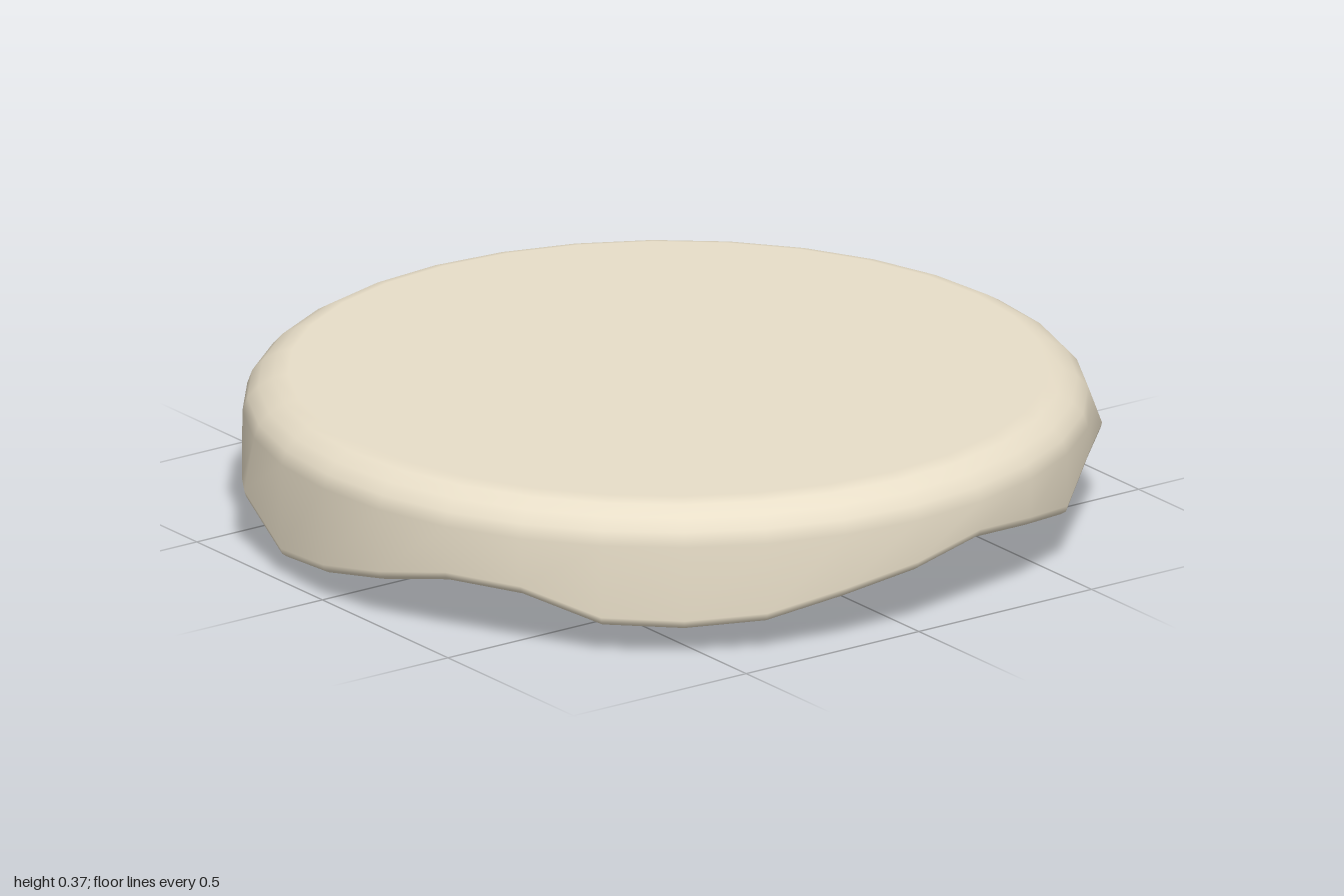
import * as THREE from 'three';

const SIDES = 32;
const TOP = 0.365;
const HUB = 0.155; // height where the underside facets meet

// height of the ragged lower edge, from the front round towards +x
const EDGE = [
  0.065, 0.10, 0.14, 0.135, 0.075, 0.07, 0.08, 0.12,
  0.15, 0.185, 0.16, 0.125, 0.19, 0.195, 0.115, 0.10,
  0.0, 0.076, 0.138, 0.172, 0.175, 0.155, 0.10, 0.09,
  0.155, 0.08, 0.058, 0.10, 0.065, 0.085, 0.125, 0.045,
];
// two places where the lower edge flares outwards
const FLARE = { 13: 0.02, 30: 0.022 };

// rounded shoulder as [radius, height]
const SHOULDER = [[0.89, TOP], [0.925, 0.356], [0.96, 0.335], [0.985, 0.308], [0.997, 0.275]];

function ringPoint(k, r, y) {
  const a = (k / SIDES) * Math.PI * 2;
  return new THREE.Vector3(Math.sin(a) * r, y, Math.cos(a) * r);
}

// lower edge point k; inset and lift shape the small bevel
function edgePoint(k, inset, lift) {
  const i = k % SIDES;
  return ringPoint(i, 0.998 + (FLARE[i] || 0) - inset, EDGE[i] + lift);
}

function makeRim() {
  const rings = SHOULDER.map(([r, y]) => (k) => ringPoint(k, r, y));
  rings.push((k) => edgePoint(k, 0, 0.022), (k) => edgePoint(k, 0.004, 0.008), (k) => edgePoint(k, 0.016, 0));
  const points = [];
  const index = [];
  rings.forEach((ring, j) => {
    for (let k = 0; k < SIDES; k++) {
      points.push(ring(k));
      if (j === rings.length - 1) continue;
      const a = j * SIDES + k;
      const b = j * SIDES + ((k + 1) % SIDES);
      index.push(a, a + SIDES, b, b, a + SIDES, b + SIDES);
    }
  });
  const geometry = new THREE.BufferGeometry().setFromPoints(points);
  geometry.setIndex(index);
  geometry.computeVertexNormals();
  // blend the shoulder into the flat top
  for (let k = 0; k < SIDES; k++) geometry.attributes.normal.setXYZ(k, 0, 1, 0);
  return geometry;
}

// facets running from the hub to the ragged edge
function makeUnderside() {
  const points = [];
  for (let k = 0; k < SIDES; k++) {
    points.push(new THREE.Vector3(0, HUB, 0), edgePoint(k + 1, 0.016, 0), edgePoint(k, 0.016, 0));
  }
  const geometry = new THREE.BufferGeometry().setFromPoints(points);
  geometry.computeVertexNormals();
  return geometry;
}

export function createModel() {
  const group = new THREE.Group();
  group.name = 'raggedDisc';
  const material = new THREE.MeshStandardMaterial({ color: 0xe8dec8 });
  const add = (name, geometry) => {
    const mesh = new THREE.Mesh(geometry, material);
    mesh.name = name;
    group.add(mesh);
  };

  const cap = new THREE.CircleGeometry(SHOULDER[0][0], SIDES);
  cap.rotateX(-Math.PI / 2);
  cap.translate(0, TOP, 0);
  add('topFace', cap);
  add('rim', makeRim());
  add('underside', makeUnderside());
  return group;
}
